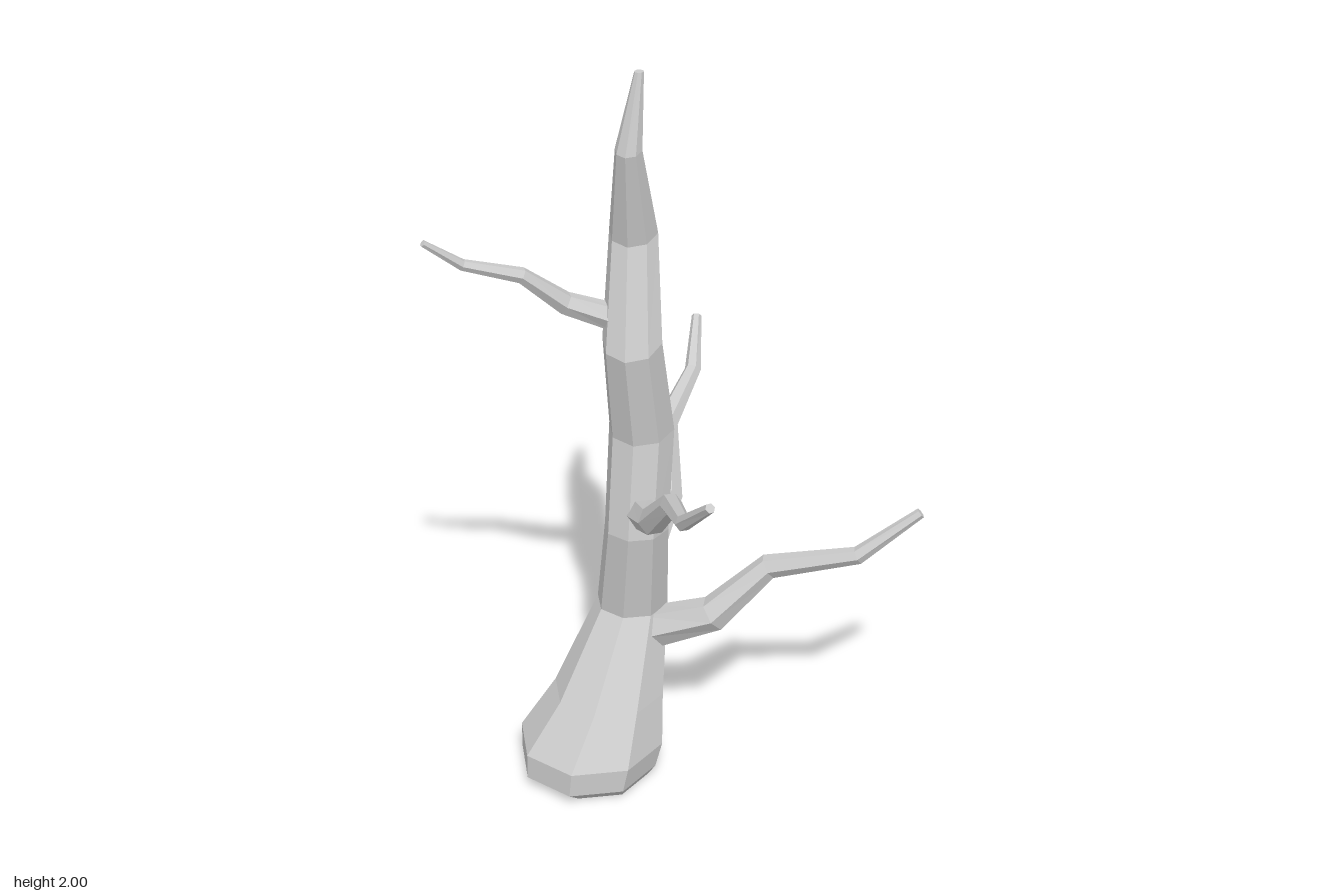
import * as THREE from 'three';

const material = new THREE.MeshStandardMaterial({ color: 0xcccccc, flatShading: true });

// Closed low-poly limb: one polygon ring per [x, y, z, radius], capped at both ends.
// normals (optional) set the plane of each ring; otherwise it follows the path.
function limb(name, rings, sides, ref, normals) {
  const points = rings.map(([x, y, z]) => new THREE.Vector3(x, y, z));
  const last = points.length - 1;
  const position = [];
  const index = [];
  points.forEach((p, i) => {
    const t = new THREE.Vector3();
    if (normals) t.copy(normals[i]);
    else {
      if (i > 0) t.add(p.clone().sub(points[i - 1]).normalize());
      if (i < last) t.add(points[i + 1].clone().sub(p).normalize());
    }
    t.normalize();
    const u = ref.clone().cross(t).normalize();
    const v = t.clone().cross(u);
    for (let s = 0; s < sides; s++) {
      const a = (s / sides) * Math.PI * 2;
      const q = p.clone()
        .addScaledVector(u, Math.cos(a) * rings[i][3])
        .addScaledVector(v, Math.sin(a) * rings[i][3]);
      position.push(q.x, q.y, q.z);
    }
  });
  // side walls
  for (let i = 0; i < last; i++) {
    for (let s = 0; s < sides; s++) {
      const a = i * sides + s;
      const b = i * sides + ((s + 1) % sides);
      index.push(a, b, b + sides, a, b + sides, a + sides);
    }
  }
  // end caps
  const top = last * sides;
  for (let s = 1; s < sides - 1; s++) {
    index.push(0, s + 1, s, top, top + s, top + s + 1);
  }
  const geometry = new THREE.BufferGeometry();
  geometry.setAttribute('position', new THREE.Float32BufferAttribute(position, 3));
  geometry.setIndex(index);
  const flat = geometry.toNonIndexed();
  flat.computeVertexNormals();
  const mesh = new THREE.Mesh(flat, material);
  mesh.name = name;
  return mesh;
}

export function createModel() {
  const group = new THREE.Group();
  group.name = 'bareTree';

  // Trunk: x, y, z, radius, and the forward tilt of the ring
  const trunk = [
    [-0.235, 0.0, 0.21, 0.155, 0],
    [-0.25, 0.03, 0.21, 0.19, 0],
    [-0.243, 0.1, 0.2, 0.2, 0],
    [-0.205, 0.23, 0.15, 0.152, 0],
    [-0.165, 0.45, 0.04, 0.098, 0],
    [-0.137, 0.72, 0.09, 0.087, 0],
    [-0.132, 1.0, 0.045, 0.088, 0.2],
    [-0.138, 1.28, 0.105, 0.079, 0.4],
    [-0.152, 1.55, 0.027, 0.064, 0.35],
    [-0.14, 1.805, 0.108, 0.035, 0.3],
    [-0.118, 2.0, 0.082, 0.012, 0],
  ];
  const tilts = trunk.map((r) => new THREE.Vector3(0, 1, r[4]));
  group.add(limb('trunk', trunk, 8, new THREE.Vector3(0, 0, 1), tilts));

  // Branches: kinked, tapering paths rooted inside the trunk
  const branches = {
    leftBranch: [
      [-0.1, 0.39, 0.07, 0.058], [0.07, 0.465, 0.08, 0.049], [0.21, 0.605, 0.03, 0.034],
      [0.45, 0.675, 0.03, 0.024], [0.605, 0.8, -0.018, 0.014],
    ],
    backBranch: [
      [-0.135, 0.615, 0.01, 0.058], [-0.12, 0.675, -0.15, 0.048], [-0.155, 0.815, -0.3, 0.033],
      [-0.13, 0.88, -0.51, 0.023], [-0.15, 0.985, -0.638, 0.014],
    ],
    frontBranch: [
      [-0.11, 0.785, 0.13, 0.046], [-0.055, 0.83, 0.235, 0.039], [0.02, 0.95, 0.335, 0.029],
      [0.1, 1.02, 0.53, 0.021], [0.193, 1.138, 0.637, 0.013],
    ],
    rightBranch: [
      [-0.18, 1.33, 0.09, 0.037], [-0.305, 1.38, 0.135, 0.03], [-0.395, 1.48, 0.205, 0.021],
      [-0.53, 1.52, 0.262, 0.015], [-0.606, 1.6, 0.328, 0.009],
    ],
  };
  const up = new THREE.Vector3(0, 1, 0);
  for (const [name, path] of Object.entries(branches)) group.add(limb(name, path, 6, up));

  return group;
}
